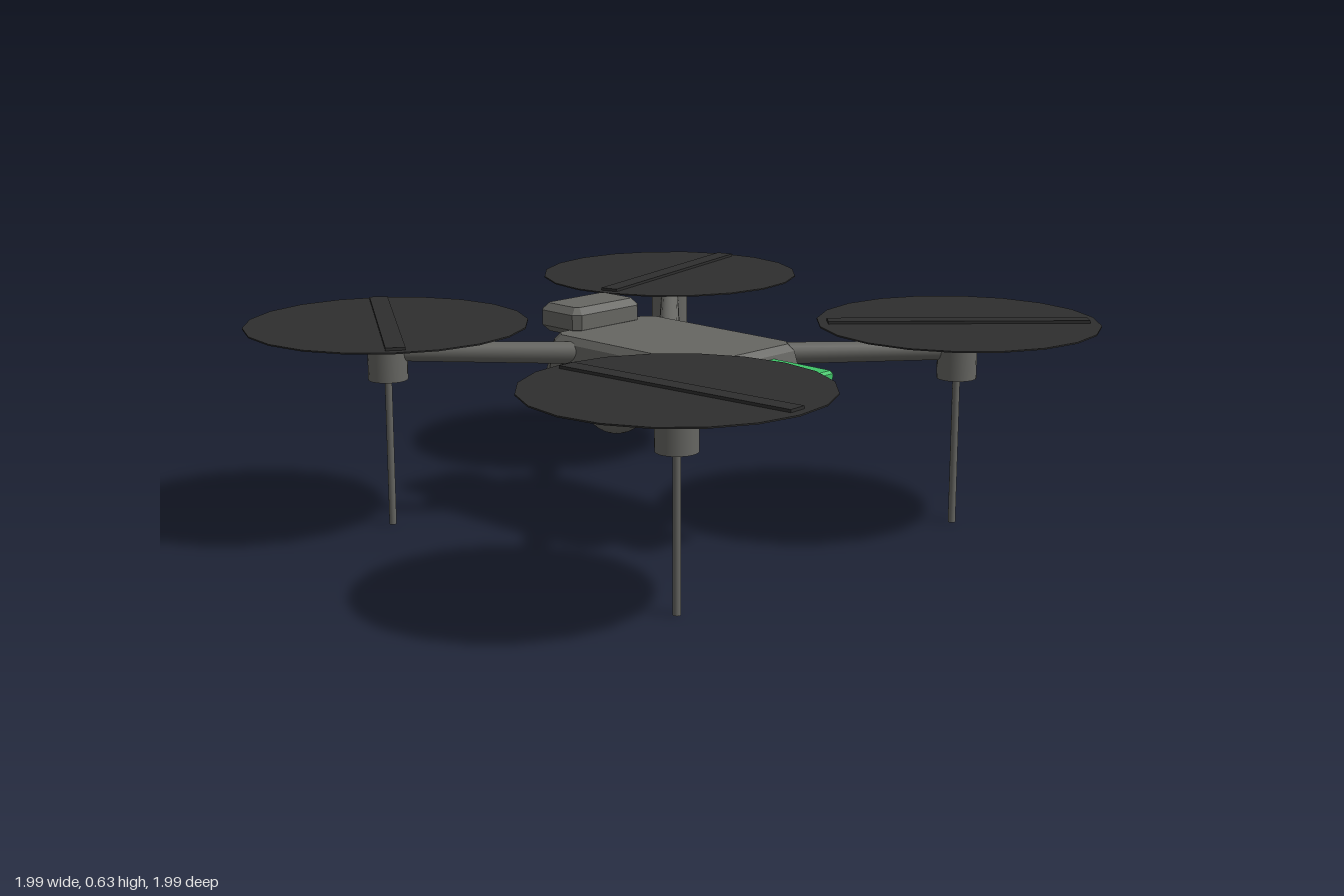
import * as THREE from 'three';

const shellGrey = new THREE.MeshStandardMaterial({ color: 0x666662 });
shellGrey.name = 'shellGrey';
const rotorBlack = new THREE.MeshStandardMaterial({ color: 0x2e2e2e });
rotorBlack.name = 'rotorBlack';
const signalGreen = new THREE.MeshStandardMaterial({ color: 0x40c468 });
signalGreen.name = 'signalGreen';

function addMesh(parent, name, geometry, material, x = 0, y = 0, z = 0) {
  const mesh = new THREE.Mesh(geometry, material);
  mesh.name = name;
  mesh.position.set(x, y, z);
  parent.add(mesh);
  return mesh;
}

// Stacked octagon sections: each level is [y, half width, half depth, corner cut x, corner cut z]
function loftOctagons(levels) {
  const rings = levels.map(([y, w, d, cx, cz]) => [
    [w, -d + cz], [w, d - cz], [w - cx, d], [-w + cx, d],
    [-w, d - cz], [-w, -d + cz], [-w + cx, -d], [w - cx, -d],
  ].map(([x, z]) => [x, y, z]));
  const out = [];
  const tri = (a, b, c) => out.push(...a, ...b, ...c);
  const last = rings.length - 1;
  const bottom = [0, levels[0][0], 0];
  const top = [0, levels[last][0], 0];
  for (let i = 0; i < 8; i++) {
    const j = (i + 1) % 8;
    for (let k = 0; k < last; k++) {
      tri(rings[k][i], rings[k + 1][i], rings[k + 1][j]);
      tri(rings[k][i], rings[k + 1][j], rings[k][j]);
    }
    tri(bottom, rings[0][i], rings[0][j]);
    tri(top, rings[last][j], rings[last][i]);
  }
  const geometry = new THREE.BufferGeometry();
  geometry.setAttribute('position', new THREE.Float32BufferAttribute(out, 3));
  geometry.computeVertexNormals();
  return geometry;
}

// Box with all edges bevelled by b, centred on the origin
function bevelBox(w, h, d, b) {
  const x = w / 2, y = h / 2, z = d / 2;
  return loftOctagons([
    [-y, x - b, z - b, b / 2, b / 2],
    [-y + b, x, z, b, b],
    [y - b, x, z, b, b],
    [y, x - b, z - b, b / 2, b / 2],
  ]);
}

// Cylinder running between two points
function addRod(parent, name, from, to, r0, r1, material, sides) {
  const dir = to.clone().sub(from);
  const geometry = new THREE.CylinderGeometry(r1, r0, dir.length(), sides);
  const mid = from.clone().add(to).multiplyScalar(0.5);
  const rod = addMesh(parent, name, geometry, material, mid.x, mid.y, mid.z);
  rod.quaternion.setFromUnitVectors(new THREE.Vector3(0, 1, 0), dir.normalize());
}

export function createModel() {
  const model = new THREE.Group();
  model.name = 'quadcopter';

  // Tapered fuselage
  addMesh(model, 'fuselage', loftOctagons([
    [0.38, 0.22, 0.315, 0.04, 0.05],
    [0.41, 0.24, 0.34, 0.04, 0.055],
    [0.54, 0.212, 0.31, 0.03, 0.035],
    [0.56, 0.195, 0.295, 0.025, 0.03],
  ]), shellGrey);

  // Front marker plate and rear pack
  addMesh(model, 'frontPlate', bevelBox(0.2, 0.045, 0.24, 0.008), signalGreen, 0, 0.508, 0.41);
  addMesh(model, 'rearPack', bevelBox(0.27, 0.085, 0.17, 0.02), shellGrey, 0, 0.583, -0.347);

  // Camera ball with a lens looking backwards and slightly down
  addMesh(model, 'cameraBall', new THREE.SphereGeometry(0.102, 32, 20), shellGrey, 0, 0.336, -0.235);
  addRod(model, 'lensBarrel', new THREE.Vector3(0, 0.325, -0.28),
    new THREE.Vector3(0, 0.311, -0.343), 0.042, 0.038, shellGrey, 20);
  addRod(model, 'lensGlass', new THREE.Vector3(0, 0.312, -0.339),
    new THREE.Vector3(0, 0.31, -0.346), 0.026, 0.026, rotorBlack, 20);

  // Four corners: arm, motor, leg and rotor, with each blade at its own angle
  const corners = [
    [-1, -1, 55.3, 'backRight'], [1, -1, 14.5, 'backLeft'],
    [-1, 1, -85.6, 'frontRight'], [1, 1, -44.7, 'frontLeft'],
  ];
  for (const [sx, sz, angle, label] of corners) {
    const corner = new THREE.Group();
    corner.name = label + 'RotorUnit';
    const x = 0.586 * sx, z = 0.586 * sz;
    addRod(corner, 'arm', new THREE.Vector3(0.19 * sx, 0.515, 0.2 * sz),
      new THREE.Vector3(x, 0.522, z), 0.033, 0.028, shellGrey, 16);
    addMesh(corner, 'motor', new THREE.CylinderGeometry(0.058, 0.058, 0.145, 20), shellGrey, x, 0.512, z);
    addMesh(corner, 'leg', new THREE.CylinderGeometry(0.011, 0.011, 0.45, 10), shellGrey, x, 0.225, z);
    addMesh(corner, 'rotorDisc', new THREE.CylinderGeometry(0.411, 0.411, 0.004, 20), rotorBlack, x, 0.603, z);
    const blade = addMesh(corner, 'blade', new THREE.BoxGeometry(0.76, 0.01, 0.055), rotorBlack, x, 0.608, z);
    blade.rotation.y = THREE.MathUtils.degToRad(angle);
    model.add(corner);
  }
  return model;
}
